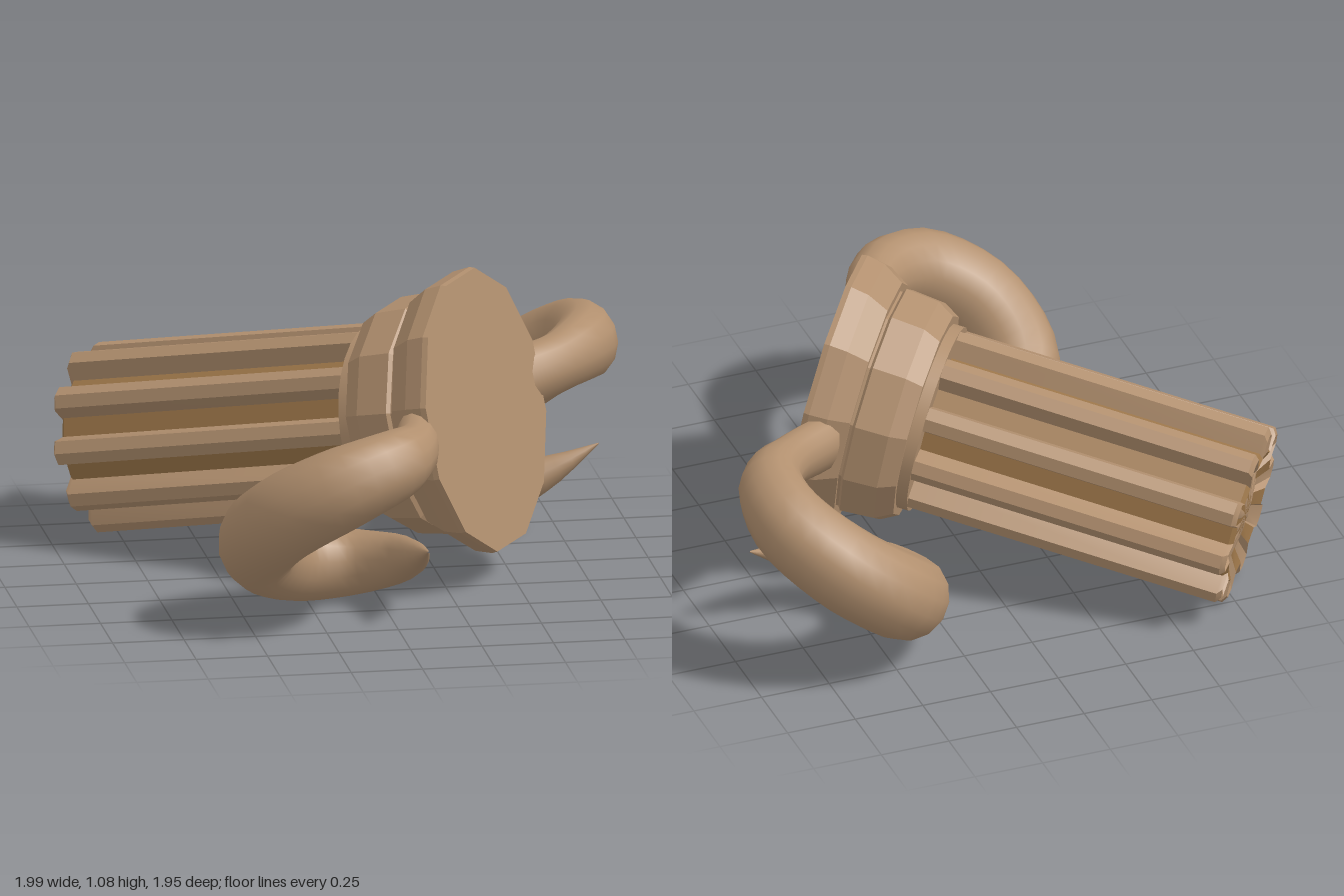
import * as THREE from 'three';
import { toCreasedNormals } from 'three/addons/utils/BufferGeometryUtils.js';

const COLOR = 0xb2906f;
const smoothMat = new THREE.MeshStandardMaterial({ color: COLOR });
const flatMat = new THREE.MeshStandardMaterial({ color: COLOR, flatShading: true });
const grooveMat = new THREE.MeshStandardMaterial({ color: 0x9a7448 });

// Local frame: +z runs along the axis and out through the round face, y is up.

function named(geometry, material, name) {
  const mesh = new THREE.Mesh(geometry, material);
  mesh.name = name;
  return mesh;
}

// Twelve-sided turned part from [radius, z] pairs, back to front, narrowed sideways
function turned(profile, width, name) {
  const points = profile.map(([r, z]) => new THREE.Vector2(r, z));
  const geometry = new THREE.LatheGeometry(points, 12, Math.PI / 12).rotateX(Math.PI / 2).scale(width, 1, 1);
  return named(geometry, flatMat, name);
}

// Fluted shaft: gear-shaped loops joined along z; the groove floors are a darker mesh
function flutedShaft() {
  const teeth = 10;
  const section = [];
  const tooth = [[-7.5, 0.25], [7.5, 0.25], [10.5, 0.316], [18, 0.332], [25.5, 0.316]];
  for (let i = 0; i < teeth; i++) {
    for (const [deg, r] of tooth) {
      const a = THREE.MathUtils.degToRad(84 + i * 36 + deg);
      section.push([Math.cos(a) * r, Math.sin(a) * r]);
    }
  }
  const loops = [[-0.38, 1], [-1.52, 1], [-1.535, 0.93], [-1.5, 0.65], [-1.52, 0.25], [-1.52, 0]];
  const n = section.length;
  const positions = [];
  const ridges = [];
  const grooves = [];
  for (const [z, s] of loops) for (const [x, y] of section) positions.push(x * s, y * s, z);
  for (let k = 0; k < loops.length - 1; k++) {
    for (let i = 0; i < n; i++) {
      const a = k * n + i;
      const b = k * n + (i + 1) % n;
      const faces = i % tooth.length === 0 ? grooves : ridges;
      faces.push(a, a + n, b, b, a + n, b + n);
    }
  }
  const part = (index, material, name) => {
    const geometry = new THREE.BufferGeometry();
    geometry.setAttribute('position', new THREE.Float32BufferAttribute(positions, 3));
    geometry.setIndex(index);
    return named(toCreasedNormals(geometry, 0.8), material, name);
  };
  const shaft = new THREE.Group();
  shaft.name = 'flutedShaft';
  shaft.add(part(ridges, smoothMat, 'ridges'), part(grooves, grooveMat, 'grooves'));
  return shaft;
}

// Curled horn: [x, y, z, radius] along the spiral, swelling then tapering to a tip
const HORN = [
  [0.36, 0.0, -0.085, 0.10], [0.56, 0.005, -0.005, 0.09], [0.75, 0.015, 0.01, 0.11],
  [0.915, -0.01, -0.11, 0.13], [0.955, -0.09, -0.335, 0.138], [0.83, -0.21, -0.525, 0.138],
  [0.6, -0.335, -0.53, 0.125], [0.45, -0.39, -0.39, 0.105], [0.45, -0.39, -0.2, 0.075],
  [0.54, -0.365, -0.08, 0.045], [0.67, -0.32, 0.04, 0.002],
];

function horn(side, name) {
  const path = new THREE.CatmullRomCurve3(HORN.map(([x, y, z]) => new THREE.Vector3(side * x, y, z)));
  const steps = 36;
  const sides = 14;
  const geometry = new THREE.TubeGeometry(path, steps, 1, sides);
  const pos = geometry.attributes.position;
  const v = new THREE.Vector3();
  const oval = new THREE.Vector3(1, 1.15, 1);
  for (let i = 0; i <= steps; i++) {
    const centre = path.getPointAt(i / steps);
    const t = path.getUtoTmapping(i / steps) * (HORN.length - 1);
    const k = Math.min(Math.floor(t), HORN.length - 2);
    const radius = THREE.MathUtils.lerp(HORN[k][3], HORN[k + 1][3], t - k);
    // Taller than wide, and pinched to the plate's thickness at the root
    oval.z = THREE.MathUtils.lerp(0.65, 1, Math.min(t / 2, 1));
    for (let j = 0; j <= sides; j++) {
      const id = i * (sides + 1) + j;
      v.fromBufferAttribute(pos, id).sub(centre).multiplyScalar(radius).multiply(oval).add(centre);
      pos.setXYZ(id, v.x, v.y, v.z);
    }
  }
  return named(geometry, smoothMat, name);
}

export function createModel() {
  const body = new THREE.Group();
  body.name = 'hornedHead';

  // Round face plate and the stepped collar behind it
  const plate = [[0, -0.17], [0.44, -0.16], [0.487, -0.085], [0.499, -0.02], [0.495, 0], [0, 0]];
  const collar = [[0.3, -0.36], [0.375, -0.36], [0.41, -0.3], [0.42, -0.18], [0.405, -0.17], [0.405, -0.14]];
  body.add(turned(plate, 0.88, 'facePlate'), turned(collar, 0.94, 'collar'));

  // Plain ring where the shaft meets the collar
  const ring = new THREE.CylinderGeometry(0.332, 0.332, 0.08, 30).rotateX(Math.PI / 2).translate(0, 0, -0.36);
  body.add(named(ring, smoothMat, 'shaftRing'));
  body.add(flutedShaft());

  // Mirrored pair of horns
  body.add(horn(1, 'leftHorn'), horn(-1, 'rightHorn'));

  // Lay the axis in its resting direction, with a slight roll
  const axis = new THREE.Vector3(0.795, 0.19, 0.577).normalize();
  const right = new THREE.Vector3(0, 1, 0).cross(axis).normalize();
  const up = axis.clone().cross(right);
  body.quaternion.setFromRotationMatrix(new THREE.Matrix4().makeBasis(right, up, axis));
  body.rotateZ(0.035);
  body.position.set(0.405, 0.612, 0.165);

  const model = new THREE.Group();
  model.name = 'model';
  model.add(body);
  return model;
}
